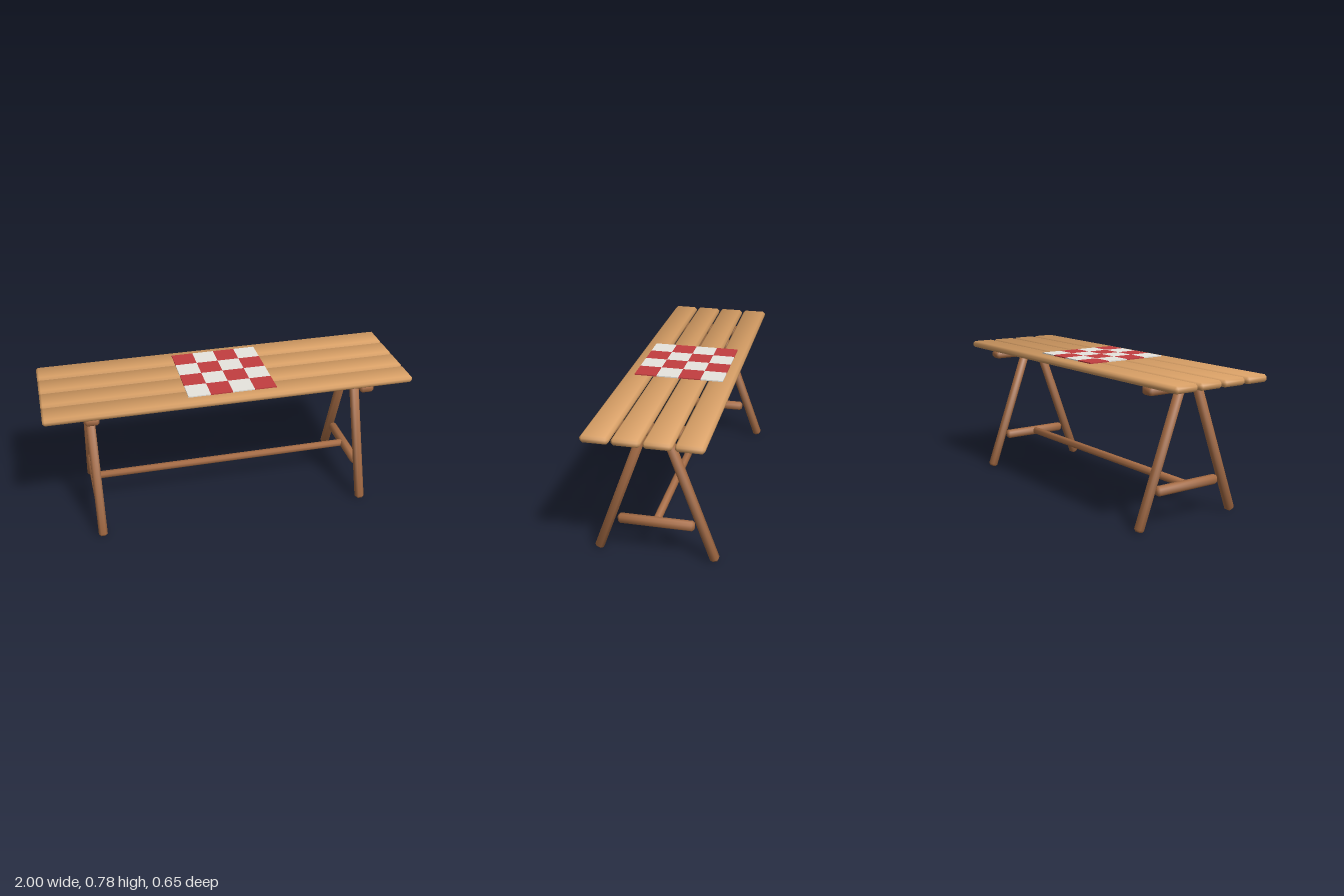
import * as THREE from 'three';
import { ConvexGeometry } from 'three/addons/geometries/ConvexGeometry.js';

const paint = (name, color) => {
  const m = new THREE.MeshStandardMaterial({ color });
  m.name = name;
  return m;
};

// Box with cut edges and softly blended normals.
function chamferedBox(w, h, d, c) {
  const half = [w / 2, h / 2, d / 2];
  const points = [];
  for (const sx of [-1, 1]) for (const sy of [-1, 1]) for (const sz of [-1, 1]) {
    const s = [sx, sy, sz];
    for (let face = 0; face < 3; face++) {
      points.push(new THREE.Vector3(...s.map((v, k) => v * (half[k] - (k === face ? 0 : c)))));
    }
  }
  const geo = new ConvexGeometry(points);
  // each corner point leans outwards from the face it lies on
  const pos = geo.attributes.position;
  const n = new THREE.Vector3();
  for (let i = 0; i < pos.count; i++) {
    const p = [pos.getX(i), pos.getY(i), pos.getZ(i)];
    n.set(...p.map((v, k) => Math.sign(v) * (Math.abs(Math.abs(v) - half[k]) < 1e-4 ? 2.8 : 1.09)));
    n.normalize();
    geo.attributes.normal.setXYZ(i, n.x, n.y, n.z);
  }
  return geo;
}

export function createModel() {
  const model = new THREE.Group();
  model.name = 'picnicTable';
  const lightWood = paint('light wood', 0xd9a066);
  const darkWood = paint('dark wood', 0xa86d45);
  const red = paint('red cloth', 0xc23e40);
  const white = paint('white cloth', 0xe8e6e0);

  const add = (name, geo, mat, x, y, z, parent = model) => {
    const mesh = new THREE.Mesh(geo, mat);
    mesh.name = name;
    mesh.position.set(x, y, z);
    parent.add(mesh);
    return mesh;
  };

  // Table top planks
  const plank = chamferedBox(2, 0.038, 0.139, 0.012);
  for (let i = 0; i < 4; i++) add('plank', plank, lightWood, 0, 0.753, (i - 1.5) * 0.151);

  // Trestles: top bearer, lower rail and two splayed legs at each end
  const bearer = chamferedBox(0.076, 0.047, 0.548, 0.012);
  const rail = chamferedBox(0.045, 0.05, 0.4, 0.012);
  const leg = chamferedBox(0.048, 0.745, 0.047, 0.012);
  const splay = THREE.MathUtils.degToRad(20);
  for (const side of [-1, 1]) {
    const trestle = new THREE.Group();
    trestle.name = side > 0 ? 'leftTrestle' : 'rightTrestle';
    trestle.position.x = side * 0.75;
    model.add(trestle);
    add('bearer', bearer, darkWood, 0, 0.713, 0, trestle);
    add('lowerRail', rail, darkWood, 0, 0.195, 0, trestle);
    for (const f of [-1, 1]) {
      const mesh = add(f > 0 ? 'frontLeg' : 'backLeg', leg, darkWood, 0, 0.356, f * 0.182, trestle);
      mesh.rotation.x = -f * splay;
    }
  }

  // Long stretcher between the trestles
  add('stretcher', chamferedBox(1.5, 0.038, 0.038, 0.01), darkWood, 0, 0.197, 0);

  // Checked cloth
  const cloth = new THREE.Group();
  cloth.name = 'checkedCloth';
  model.add(cloth);
  const check = new THREE.BoxGeometry(0.12, 0.006, 0.12);
  for (let row = 0; row < 4; row++) for (let col = 0; col < 4; col++) {
    const isRed = (row + col) % 2 === 0;
    add(isRed ? 'redCheck' : 'whiteCheck', check, isRed ? red : white,
      (col - 1.5) * 0.12, 0.778, (row - 1.5) * 0.12, cloth);
  }
  return model;
}
